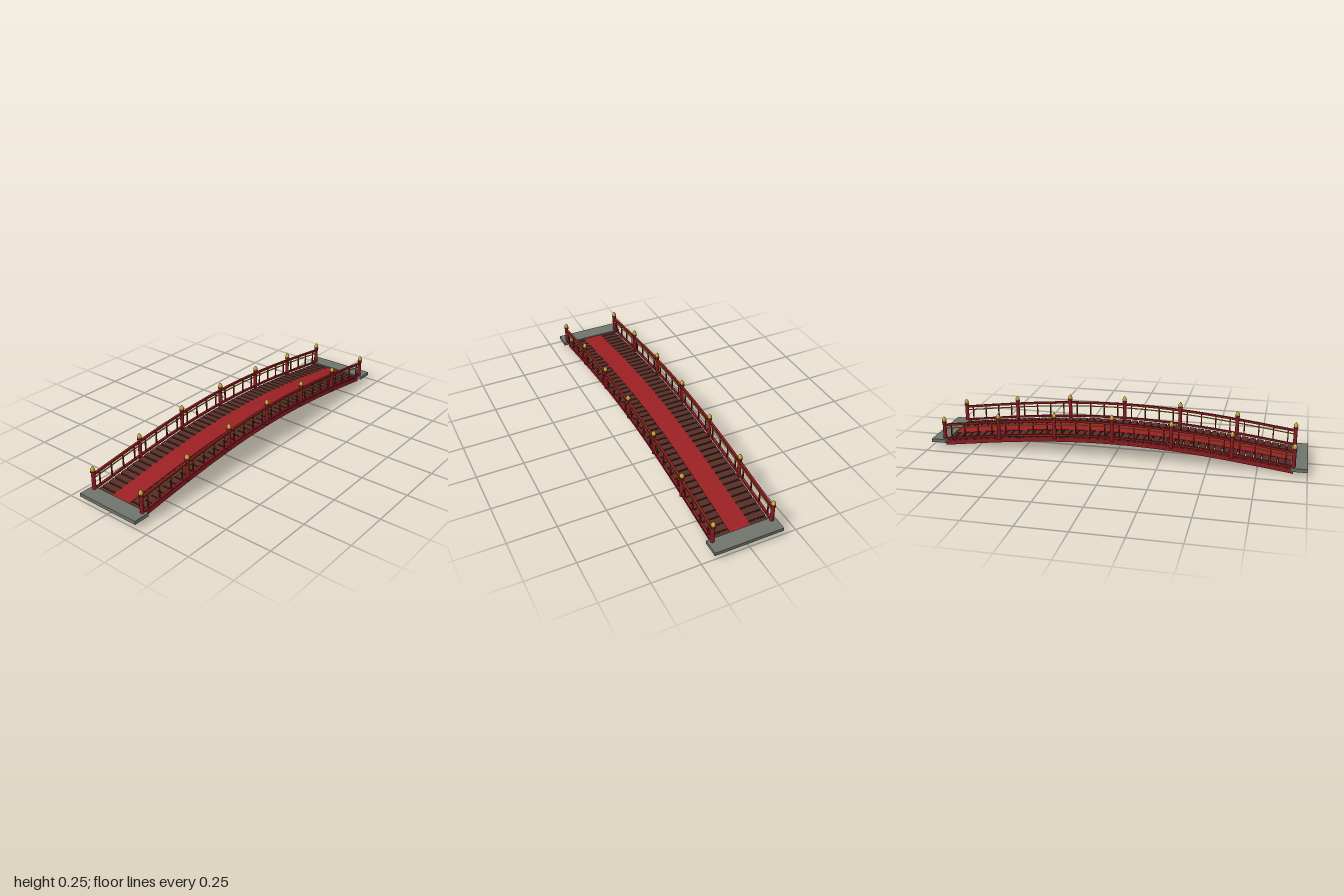
import * as THREE from 'three';

const HALF = 0.93;      // half span of the arch
const RISE = 0.08;      // arch height
const RAIL_X = 0.158;   // railing centre line

const arch = z => RISE * Math.cos((Math.PI / 2) * (z / HALF));
const slope = z => Math.atan(RISE * (Math.PI / 2 / HALF) * Math.sin((Math.PI / 2) * (z / HALF)));

const mat = (name, color) => {
  const m = new THREE.MeshStandardMaterial({ color });
  m.name = name;
  return m;
};

export function createModel() {
  const red = mat('red lacquer', 0x8f1c21);
  const carpetRed = mat('carpet red', 0x9b2023);
  const wood = mat('dark wood', 0x552d25);
  const gold = mat('gold', 0xc9a832);
  const stone = mat('grey stone', 0x6e736b);

  const model = new THREE.Group();
  model.name = 'archedBridge';

  const add = (name, geo, material, x = 0, y = 0, z = 0, parent = model) => {
    const m = new THREE.Mesh(geo, material);
    m.name = name;
    m.position.set(x, y, z);
    parent.add(m);
    return m;
  };

  // Bar that follows the arch between two heights above it
  const archedBar = (width, low, high, end = HALF, n = 42) => {
    const shape = new THREE.Shape();
    const at = i => -end + (2 * end * i) / n;
    for (let i = 0; i <= n; i++) {
      const z = at(i);
      if (i === 0) shape.moveTo(z, arch(z) + low);
      else shape.lineTo(z, arch(z) + low);
    }
    for (let i = n; i >= 0; i--) shape.lineTo(at(i), arch(at(i)) + high);
    shape.closePath();
    const g = new THREE.ExtrudeGeometry(shape, { depth: width, bevelEnabled: false });
    g.translate(0, 0, -width / 2);
    g.rotateY(-Math.PI / 2);
    return g;
  };

  // Three arched beams under the deck
  const beamGeo = archedBar(0.021, 0, 0.023);
  for (const x of [-0.141, 0, 0.141]) add('beam', beamGeo, red, x);

  // Deck planks with narrow gaps
  const planks = 46;
  const pitch = (2 * HALF) / planks;
  const plankGeo = new THREE.BoxGeometry(0.3, 0.01, pitch * 0.84);
  for (let i = 0; i < planks; i++) {
    const z = -HALF + pitch * (i + 0.5);
    add('plank', plankGeo, wood, 0, arch(z) + 0.027, z).rotation.x = slope(z);
  }

  // Carpet running down the middle
  add('carpet', archedBar(0.111, 0.0315, 0.0338, 0.92, planks), carpetRed);

  // Stone landings at both ends
  const slabGeo = new THREE.BoxGeometry(0.364, 0.018, 0.085);
  for (const s of [-1, 1]) add('landing', slabGeo, stone, 0, 0.032, s * 0.9575);

  // Railings
  const topRail = archedBar(0.012, 0.113, 0.124);
  const goldRail = archedBar(0.005, 0.096, 0.101);
  const bottomRail = archedBar(0.012, 0.035, 0.045);
  const baluster = new THREE.BoxGeometry(0.006, 0.075, 0.006);
  const post = new THREE.CylinderGeometry(0.01, 0.01, 0.113, 12);
  const collar = new THREE.CylinderGeometry(0.0125, 0.0125, 0.005, 12);
  const finial = new THREE.LatheGeometry([
    [0, 0], [0.007, 0], [0.0105, 0.004], [0.0117, 0.01], [0.0105, 0.016],
    [0.007, 0.022], [0.003, 0.027], [0, 0.031],
  ].map(p => new THREE.Vector2(...p)), 14);

  for (const side of [-1, 1]) {
    const railing = new THREE.Group();
    railing.name = side > 0 ? 'leftRailing' : 'rightRailing';
    railing.position.x = side * RAIL_X;
    model.add(railing);

    add('topRail', topRail, red, 0, 0, 0, railing);
    add('goldRail', goldRail, gold, 0, 0, 0, railing);
    add('bottomRail', bottomRail, red, 0, 0, 0, railing);

    // Four balusters in each of the six bays
    for (let i = 0; i < 24; i++) {
      const z = -HALF + (2 * HALF * (i + 0.5)) / 24;
      add('baluster', baluster, red, 0, arch(z) + 0.079, z, railing);
    }

    // Seven posts with collars and gold finials
    for (let i = -3; i <= 3; i++) {
      const z = i * HALF / 3;
      const y = arch(z);
      add('post', post, red, 0, y + 0.0765, z, railing);
      add('collar', collar, red, 0, y + 0.1345, z, railing);
      add('finial', finial, gold, 0, y + 0.136, z, railing);
    }
  }
  return model;
}
